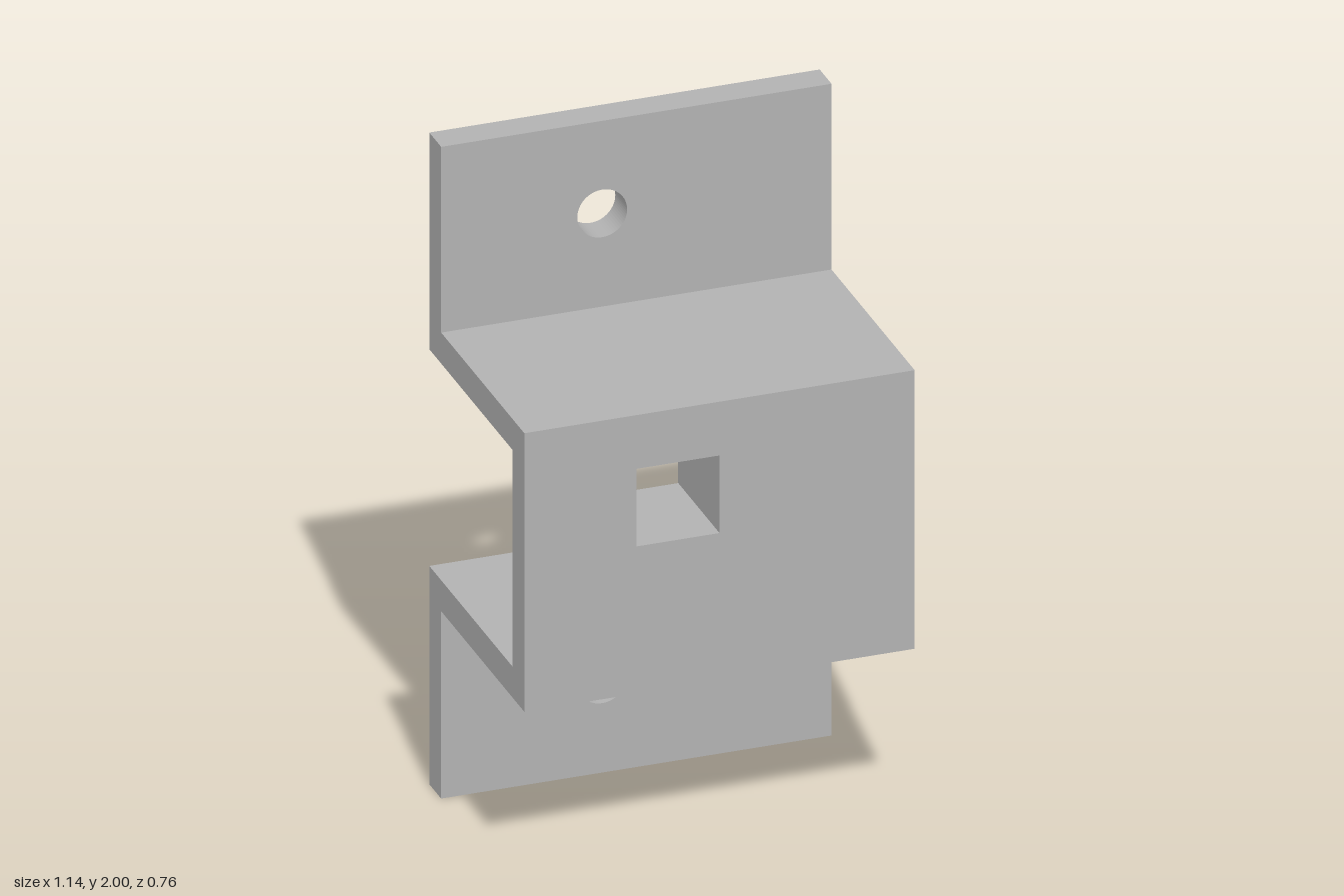
import * as THREE from 'three';

// Overall dimensions
const HX = 0.572, Z0 = -0.381, Z1 = 0.381, T = 0.095;
const BOX_BOTTOM = 0.575, BOX_TOP = 1.43;
const HOLE_X = -0.1;

function path(points, Type = THREE.Shape) {
  const p = new Type();
  points.forEach(([x, y], i) => (i ? p.lineTo(x, y) : p.moveTo(x, y)));
  p.closePath();
  return p;
}

const rect = (x0, x1, y0, y1, Type) => path([[x0, y0], [x1, y0], [x1, y1], [x0, y1]], Type);

export function createModel() {
  const group = new THREE.Group();
  const grey = new THREE.MeshStandardMaterial({ color: 0xb2b2b2 });
  grey.name = 'plain grey';

  const add = (name, geometry) => {
    const mesh = new THREE.Mesh(geometry, grey);
    mesh.name = name;
    group.add(mesh);
    return mesh;
  };
  // Extrudes a front-view outline between two depths
  const slab = (name, shape, z0, z1) => {
    const g = new THREE.ExtrudeGeometry(shape, { depth: z1 - z0, bevelEnabled: false, curveSegments: 32 });
    add(name, g.translate(0, 0, z0));
  };

  // Mounting plate, notched where the housing opens to the back and one side
  const inX = HX - T, inB = BOX_BOTTOM + T, inT = BOX_TOP - T;
  const plate = path([
    [-HX, 0], [HX, 0], [HX, 2], [-HX, 2], [-HX, inT], [inX, inT], [inX, inB], [-HX, inB],
  ]);
  for (const y of [0.286, 1.716]) {
    plate.holes.push(new THREE.Path().absarc(HOLE_X, y, 0.073, 0, Math.PI * 2, true));
  }
  slab('mountingPlate', plate, Z0, Z0 + T);

  // Housing walls: top, bottom and one closed side
  const walls = path([
    [-HX, BOX_BOTTOM], [HX, BOX_BOTTOM], [HX, BOX_TOP], [-HX, BOX_TOP],
    [-HX, inT], [inX, inT], [inX, inB], [-HX, inB],
  ]);
  slab('housingWalls', walls, Z0 + T, Z1 - T);

  // Front wall with the square window
  const win = [-0.243, 0, 1.027, 1.265];
  const front = rect(-HX, HX, BOX_BOTTOM, BOX_TOP);
  front.holes.push(rect(...win, THREE.Path));
  slab('frontWall', front, Z1 - T, Z1);

  // Square sleeve behind the window
  const w = 0.0475, back = 0.05;
  const sleeve = rect(win[0] - w, win[1] + w, win[2] - w, win[3] + w);
  sleeve.holes.push(rect(...win, THREE.Path));
  slab('squareSleeve', sleeve, back, Z1 - T);

  // Round blind boss with a countersunk bore, each surface kept crisp
  const depth = Z1 - T - back;
  const boss = new THREE.Group();
  boss.name = 'roundBoss';
  const profile = [[0.114, 0], [0.114, depth], [0.097, depth], [0.07, depth - 0.025], [0.07, 0]];
  for (let i = 0; i < profile.length - 1; i++) {
    const pts = [profile[i], profile[i + 1]].map(([r, y]) => new THREE.Vector2(r, y));
    const mesh = new THREE.Mesh(new THREE.LatheGeometry(pts, 40), grey);
    mesh.name = ['bossOuter', 'bossRim', 'bossCountersink', 'bossBore'][i];
    boss.add(mesh);
  }
  boss.rotation.x = -Math.PI / 2;
  boss.position.set(-0.2, 0.86, Z1 - T);
  group.add(boss);

  return group;
}
